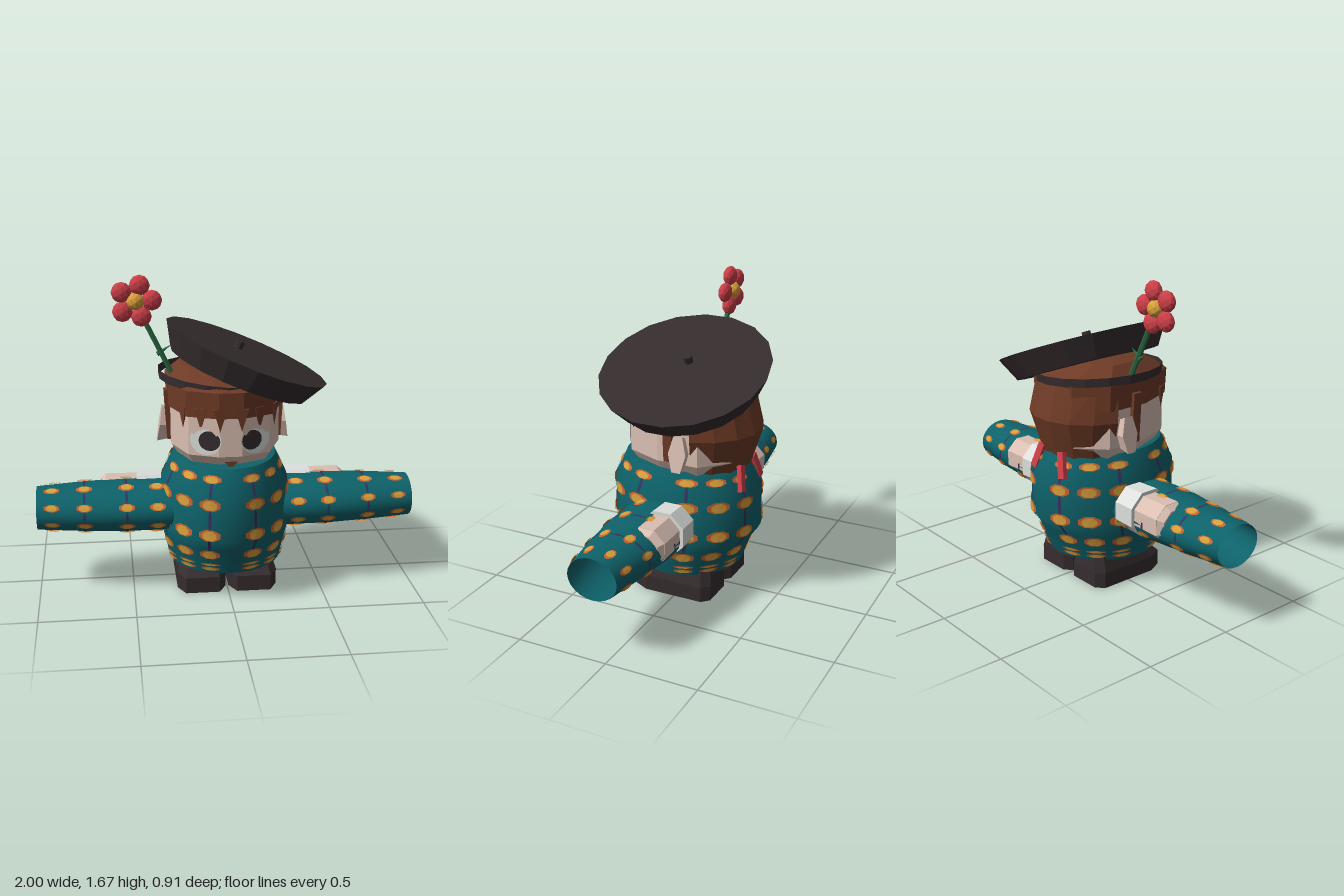
import * as THREE from 'three';

const mat = (name, color, flatShading = true, side = THREE.FrontSide) =>
  Object.assign(new THREE.MeshStandardMaterial({ color, flatShading, side }), { name });
const V = (x, y, z) => new THREE.Vector3(x, y, z);

// Skin stretched over a stack of equal rings, with optional end caps
function loft(rings, caps = true) {
  const n = rings[0].length, pos = [], idx = [];
  rings.forEach(r => r.forEach(p => pos.push(p.x, p.y, p.z)));
  for (let i = 0; i < rings.length - 1; i++) for (let j = 0; j < n; j++) {
    const a = i * n + j, b = i * n + (j + 1) % n;
    idx.push(a, b, b + n, a, b + n, a + n);
  }
  if (caps) [0, rings.length - 1].forEach(i => {
    const c = rings[i].reduce((s, p) => s.add(p), V(0, 0, 0)).divideScalar(n);
    const k = pos.length / 3;
    const base = k;
    [...rings[i], c].forEach(p => pos.push(p.x, p.y, p.z));
    for (let j = 0; j < n; j++) {
      const a = base + j, b = base + (j + 1) % n;
      i ? idx.push(a, b, base + n) : idx.push(b, a, base + n);
    }
  });
  const g = new THREE.BufferGeometry();
  g.setAttribute('position', new THREE.Float32BufferAttribute(pos, 3));
  g.setIndex(idx);
  g.computeVertexNormals();
  return g;
}

// Linear lookup of [key, a, b] rows
function lookup(rows, k) {
  let i = 0;
  while (i < rows.length - 2 && k > rows[i + 1][0]) i++;
  const [p, q] = [rows[i], rows[i + 1]], t = (k - p[0]) / (q[0] - p[0]);
  return [p[1] + (q[1] - p[1]) * t, p[2] + (q[2] - p[2]) * t];
}

// Coat body and sleeve surfaces: angle, position along the axis, lift
const BODY = [[0.15, 0.30, 0.305], [0.3, 0.335, 0.36], [0.37, 0.345, 0.41], [0.6, 0.335, 0.41], [0.74, 0.27, 0.345]];
const SLEEVE = [[0.2, 0.12, 0.19], [0.34, 0.13, 0.205], [0.55, 0.13, 0.202], [0.78, 0.123, 0.175], [1, 0.112, 0.137]];
const body = (a, y, d = 0) => {
  const [rx, rz] = lookup(BODY, y);
  return V((rx + d) * Math.sin(a), y, 0.04 + (rz + d) * Math.cos(a));
};
const sleeve = (a, x, d = 0) => {
  const [ry, rz] = lookup(SLEEVE, x);
  return V(x, 0.45 - (ry + d) * Math.sin(a), 0.06 + (rz + d) * Math.cos(a));
};
const ringOf = (surface, k, n = 32) => Array.from({ length: n }, (_, j) => surface(j / n * Math.PI * 2, k));

export function createModel() {
  const model = new THREE.Group();
  const D = THREE.DoubleSide;
  const teal = mat('teal cloth', 0x0e626a, false, D), orange = mat('orange spot', 0xc9652f, false, D);
  const yellow = mat('yellow spot', 0xd9a03c, true, D), purple = mat('purple thread', 0x36305e, false, D);
  const black = mat('dark felt', 0x352c2e, true, D), skin = mat('skin', 0xdabfb2);
  const hair = mat('brown hair', 0x6e3b26, true, D), white = mat('white', 0xdcdfdc, true, D);
  const red = mat('red', 0xcc3f48), green = mat('green stem', 0x2b6a42);

  const add = (parent, name, geo, material, x = 0, y = 0, z = 0) => {
    const m = new THREE.Mesh(geo, material);
    m.name = name;
    m.position.set(x, y, z);
    parent.add(m);
    return m;
  };

  // Thin patches that follow a cloth surface
  const patch = (parent, name, surface, a, k, ha, hk, lift, material) => {
    const pos = [], idx = [], n = 8;
    const put = (u, v) => pos.push(...surface(a + u * ha, k + v * hk, lift).toArray());
    put(0, 0);
    for (let j = 0; j < n; j++) {
      const t = (j + 0.5) / n * Math.PI * 2;
      put(Math.cos(t) * 1.05, Math.sin(t) * 1.05);
      idx.push(0, 1 + j, 1 + (j + 1) % n);
    }
    const g = new THREE.BufferGeometry();
    g.setAttribute('position', new THREE.Float32BufferAttribute(pos, 3));
    g.setIndex(idx);
    g.computeVertexNormals();
    add(parent, name, g, material);
  };
  const spot = (parent, surface, a, k, ha, hk) => {
    patch(parent, 'spotRim', surface, a, k, ha, hk, 0.005, orange);
    const alongX = surface === sleeve;
    patch(parent, 'spotCentre', surface, a, k, ha * (alongX ? 0.82 : 0.66), hk * (alongX ? 0.66 : 0.82), 0.009, yellow);
  };

  // Coat body with spots and thread
  const coat = new THREE.Group();
  coat.name = 'coat';
  model.add(coat);
  add(coat, 'coatBody', loft(BODY.map(r => ringOf(body, r[0]))), teal);
  const columns = [20, 45, 70, 110, 135, 160];
  const rows = [[0.69, 0.02], [0.565, 0.032], [0.4, 0.032], [0.27, 0.028], [0.205, 0.008], [0.178, 0.012]];
  for (const s of [1, -1]) for (const deg of columns) {
    const a = s * THREE.MathUtils.degToRad(deg);
    for (const [y, h] of rows) spot(coat, body, a, y, 0.165, h);
    if (deg % 45) for (const [y, h] of [[0.63, 0.05], [0.48, 0.06], [0.34, 0.045]]) {
      patch(coat, 'thread', body, a, y, 0.025, h, 0.003, purple);
    }
  }

  // Arms: open sleeves with cuffed hands inside, mirrored
  for (const s of [1, -1]) {
    const arm = new THREE.Group();
    arm.name = s > 0 ? 'leftArm' : 'rightArm';
    arm.scale.x = s;
    model.add(arm);
    add(arm, 'sleeve', loft(SLEEVE.map(r => ringOf(sleeve, r[0], 24)), false), teal);
    for (let j = 0; j < 8; j++) {
      const a = (j + 0.5) * Math.PI / 4;
      for (const x of [0.37, 0.53, 0.75, 0.92]) spot(arm, sleeve, a, x, 0.15, 0.042);
      for (const x of [0.53, 0.75]) patch(arm, 'thread', sleeve, a + Math.PI / 8, x, 0.22, 0.007, 0.003, purple);
    }
    const bar = (name, r0, r1, len, material, x, z) => {
      const m = add(arm, name, new THREE.CylinderGeometry(r1, r0, len, 8), material, x, 0.475, z);
      m.rotation.set(Math.PI / 8, 0, -Math.PI / 2, 'XYZ');
    };
    bar('cuff', 0.125, 0.13, 0.13, white, 0.405, -0.04);
    bar('hand', 0.11, 0.112, 0.17, skin, 0.55, -0.04);
    bar('fingertips', 0.112, 0.085, 0.035, skin, 0.65, -0.04);
  }

  // Shoes: chamfered outlines stacked up
  for (const s of [1, -1]) {
    const shoeRing = (y, w, back, front, c) => [
      [-w + c, front], [w - c, front], [w, front - 2 * c], [w, back + c],
      [w - c, back], [-w + c, back], [-w, back + c], [-w, front - 2 * c],
    ].map(([x, z]) => V(s * 0.137 + x, y, z));
    add(model, s > 0 ? 'leftShoe' : 'rightShoe', loft([
      shoeRing(0, 0.13, -0.2, 0.25, 0.04), shoeRing(0.085, 0.13, -0.2, 0.25, 0.04), shoeRing(0.17, 0.105, -0.19, 0.16, 0.04),
    ]), black);
  }

  // Head
  const half = [[0.06, 0.34], [0.21, 0.275], [0.285, 0.08], [0.285, -0.15], [0.15, -0.28]];
  const outline = [...half, ...half.map(([x, z]) => [-x, z]).reverse()];
  const headRing = (y, f, cx = 0) => outline.map(([x, z]) => V(cx + x * f, y, z * f));
  add(model, 'head', loft([headRing(0.69, 0.78), headRing(0.79, 1), headRing(1.1, 1)]), skin);

  // Face and ears
  for (const s of [1, -1]) {
    const eye = new THREE.Group();
    eye.name = s > 0 ? 'leftEye' : 'rightEye';
    eye.position.set(s * 0.127, 0.875, 0.318);
    eye.rotation.y = s * 0.41;
    model.add(eye);
    const disc = (name, rx, ry, material, x, y, z) =>
      add(eye, name, new THREE.CircleGeometry(1, 20), material, x, y, z).scale.set(rx, ry, 1);
    disc('eyeWhite', 0.084, 0.076, white, 0, 0, 0);
    disc('pupil', 0.058, 0.052, black, -s * 0.022, 0, 0.004);
    const lid = add(eye, 'eyelid', new THREE.CircleGeometry(1, 16, 0.65, Math.PI - 1.3), skin, 0, 0, 0.008);
    lid.geometry = new THREE.RingGeometry(0.8, 1.12, 16, 1, 0.5, Math.PI - 1);
    lid.scale.set(0.082, 0.076, 1);
    const ear = add(model, s > 0 ? 'leftEar' : 'rightEar', new THREE.CylinderGeometry(0.11, 0.085, 0.07, 6), skin, s * 0.305, 0.86, -0.06);
    ear.rotation.set(0, 0, -s * (Math.PI / 2 - 0.15));
    ear.scale.z = 0.45;
  }
  const lips = new THREE.Shape([[-0.035, 0.01], [0, -0.03], [0.035, 0.01]].map(p => new THREE.Vector2(...p)));
  add(model, 'mouth', new THREE.ShapeGeometry(lips), hair, 0, 0.757, 0.346);

  // Hair: crown, back, fringe and sideburns
  add(model, 'hairCrown', loft([headRing(0.995, 1.04), headRing(1.13, 1.06), headRing(1.21, 0.55, -0.07), headRing(1.235, 0.1, -0.07)]), hair);
  const backRing = (y, rx, rz) => Array.from({ length: 8 }, (_, j) => {
    const a = THREE.MathUtils.degToRad(108 + j * 144 / 7);
    return V(rx * Math.sin(a), y, rz * Math.cos(a));
  });
  add(model, 'backHair', loft([backRing(0.69, 0.25, 0.3), backRing(0.93, 0.325, 0.375), backRing(1.13, 0.31, 0.32)]), hair);
  for (const s of [1, -1]) {
    for (const [x, z, turn, w] of [[0.055, 0.35, 0, 0.05], [0.15, 0.315, 0.41, 0.045], [0.235, 0.245, 1.1, 0.05]]) {
      const tuft = add(model, 'fringe', new THREE.ConeGeometry(1, 0.12, 4, 1, false, Math.PI / 4), hair, s * x, 0.985, z);
      tuft.scale.set(w, -1, 0.012);
      tuft.rotation.y = s * turn;
    }
    add(model, 'sideburn', new THREE.BoxGeometry(0.025, 0.27, 0.05), hair, s * 0.298, 0.935, 0.01).rotation.z = -s * 0.06;
  }

  // Beret, tilted down to one side
  add(model, 'beretBand', new THREE.CylinderGeometry(0.34, 0.335, 0.045, 18, 1, true), black, -0.01, 1.13, 0).rotation.z = -0.09;
  const beret = new THREE.Group();
  beret.name = 'beret';
  beret.position.set(0.1, 1.2, 0);
  beret.rotation.z = -0.386;
  model.add(beret);
  add(beret, 'beretDisc', new THREE.CylinderGeometry(0.455, 0.385, 0.125, 18), black);
  add(beret, 'beretStalk', new THREE.CylinderGeometry(0.024, 0.024, 0.05, 8), black, -0.05, 0.075, 0);

  // Flower on a stem
  const flower = new THREE.Group();
  flower.name = 'flower';
  flower.position.set(-0.455, 1.535, 0);
  model.add(flower);
  const stemLine = new THREE.LineCurve3(V(0.2, -0.42, 0), V(0.01, -0.03, 0));
  add(flower, 'stem', new THREE.TubeGeometry(stemLine, 1, 0.015, 6), green);
  add(flower, 'leaf', new THREE.ConeGeometry(0.014, 0.09, 5), green, 0.145, -0.255, 0).rotation.z = -1.0;
  for (let i = 0; i < 5; i++) {
    const a = 1.3 + i * Math.PI * 0.4;
    add(flower, 'petal', new THREE.IcosahedronGeometry(0.054, 1), red, Math.cos(a) * 0.085, Math.sin(a) * 0.085, 0).scale.z = 0.65;
  }
  add(flower, 'flowerCentre', new THREE.IcosahedronGeometry(0.048, 1), yellow);

  // Ribbon ends at the back of the collar
  for (const s of [1, -1]) {
    const tail = add(model, 'ribbonEnd', new THREE.BoxGeometry(0.045, 0.14, 0.025), red, s * 0.1, 0.69, -0.315);
    tail.rotation.set(0.2, 0, s * 0.3);
  }
  return model;
}
